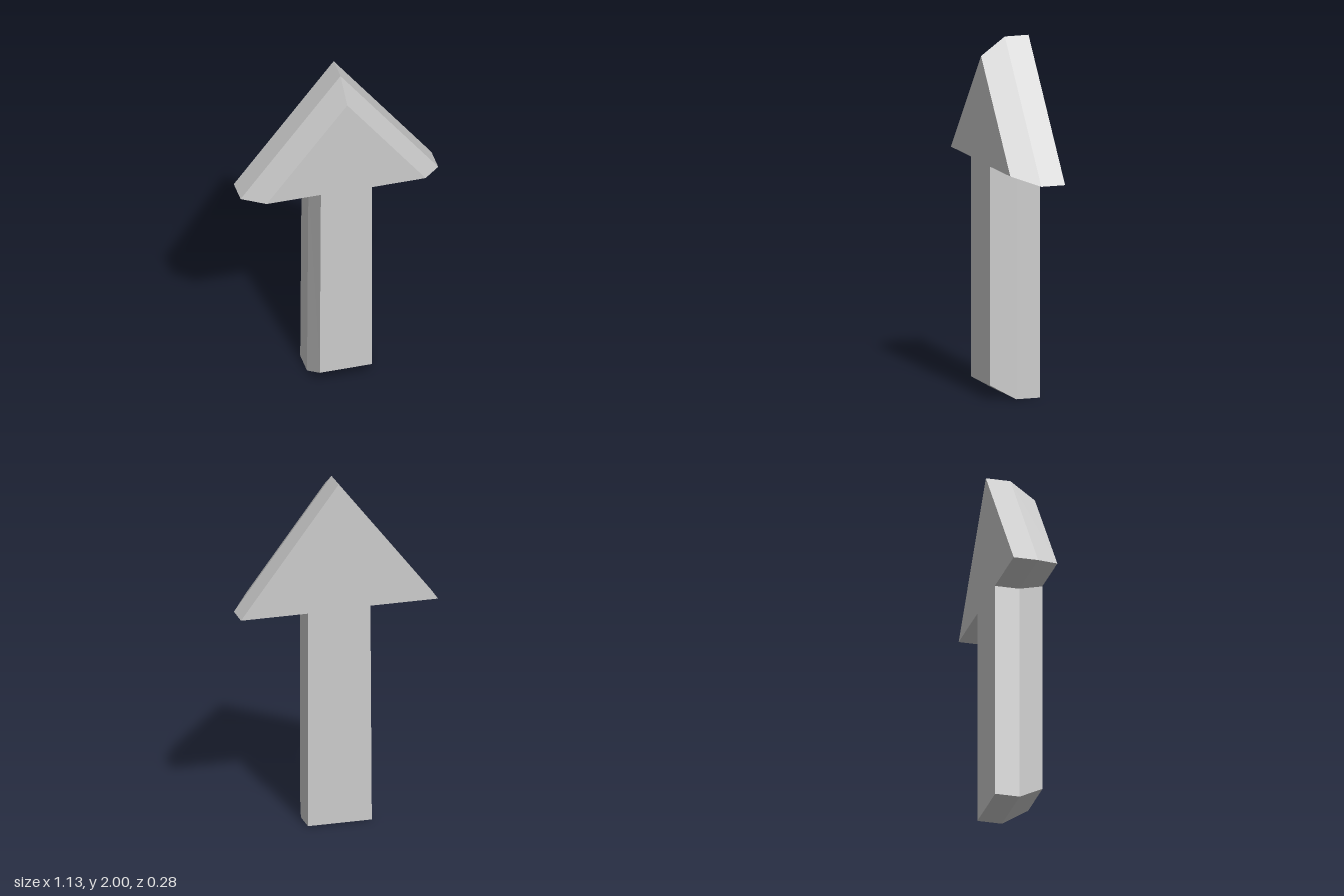
import * as THREE from 'three';

// Arrow outlines, counter-clockwise from the tip: full size, and the smaller bevelled front
const OUTER = [[0.005, 2], [-0.565, 1.265], [-0.178, 1.265], [-0.186, 0], [0.18, 0], [0.18, 1.257], [0.563, 1.257]];
const FRONT = [[0.005, 1.9], [-0.455, 1.311], [-0.146, 1.311], [-0.152, 0.08], [0.145, 0.08], [0.145, 1.305], [0.452, 1.305]];

// Skins matching cross-sections (ordered back to front) and caps both ends
function loft(sections) {
  const rings = sections.map(({ outline, z }) => outline.map(([x, y]) => new THREE.Vector3(x, y, z)));
  const points = [];
  const n = rings[0].length;
  for (let s = 0; s < rings.length - 1; s++) {
    const a = rings[s], b = rings[s + 1];
    for (let i = 0; i < n; i++) {
      const j = (i + 1) % n;
      points.push(a[i], a[j], b[j], a[i], b[j], b[i]);
    }
  }
  const cap = (ring, flip) => {
    const flat = ring.map((p) => new THREE.Vector2(p.x, p.y));
    for (const [i, j, k] of THREE.ShapeUtils.triangulateShape(flat, [])) {
      points.push(ring[i], ring[flip ? k : j], ring[flip ? j : k]);
    }
  };
  cap(rings[0], true);
  cap(rings[rings.length - 1], false);
  const geometry = new THREE.BufferGeometry().setFromPoints(points);
  geometry.computeVertexNormals();
  return geometry;
}

export function createModel() {
  const group = new THREE.Group();
  group.name = 'arrow';
  // Straight-sided back half, bevelled front half
  const body = new THREE.Mesh(
    loft([
      { outline: OUTER, z: -0.14 },
      { outline: OUTER, z: 0 },
      { outline: FRONT, z: 0.14 },
    ]),
    new THREE.MeshStandardMaterial({ color: 0xcccccc, flatShading: true })
  );
  body.name = 'arrowBody';
  group.add(body);
  return group;
}
